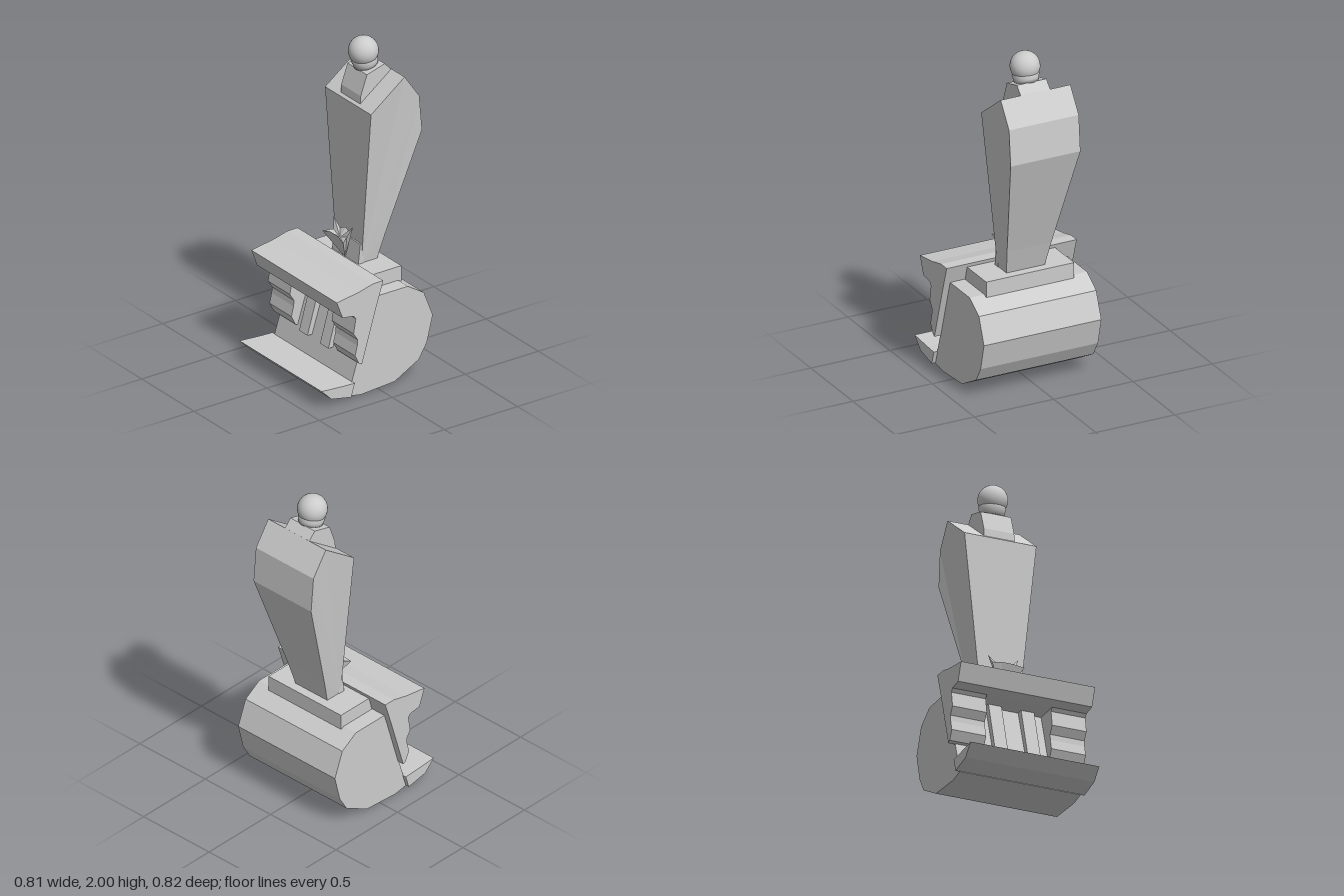
import * as THREE from 'three';

const flat = new THREE.MeshStandardMaterial({ color: 0xcccccc, flatShading: true });
const smooth = new THREE.MeshStandardMaterial({ color: 0xcccccc });
const thin = new THREE.MeshStandardMaterial({ color: 0xcccccc, flatShading: true, side: THREE.DoubleSide });

export function createModel() {
  const model = new THREE.Group();

  const add = (name, geometry, material = flat) => {
    const mesh = new THREE.Mesh(geometry, material);
    mesh.name = name;
    model.add(mesh);
    return mesh;
  };

  // Side profile (x, y) extruded from z0 to z1
  const prism = (points, z0, z1) => {
    const shape = new THREE.Shape(points.map(([x, y]) => new THREE.Vector2(x, y)));
    const g = new THREE.ExtrudeGeometry(shape, { depth: z1 - z0, bevelEnabled: false });
    return g.translate(0, 0, z0);
  };

  // Faceted drum with a slanted front
  add('drum', prism([
    [-0.21, 0.02], [-0.12, 0.005], [0.11, 0.02], [0.275, 0.11], [0.33, 0.2],
    [0.37, 0.36], [0.31, 0.515], [0.2, 0.585], [-0.032, 0.585],
  ], -0.37, 0.37));

  // Upper jaw: a full-width hood with stepped cheeks at both ends
  add('upperJawHood', prism([
    [0.003, 0.693], [-0.065, 0.693], [-0.165, 0.668], [-0.315, 0.645],
    [-0.275, 0.54], [-0.2, 0.53], [-0.049, 0.53],
  ], -0.41, 0.41));
  const cheek = [
    [-0.049, 0.53], [-0.2, 0.53], [-0.185, 0.51], [-0.2, 0.42], [-0.172, 0.375],
    [-0.175, 0.34], [-0.19, 0.28], [-0.162, 0.225], [-0.143, 0.215],
  ];
  add('cheekFront', prism(cheek, 0.2, 0.41));
  add('cheekBack', prism(cheek, -0.41, -0.2));

  // Upright ribs in the recess between the cheeks
  for (const z of [-0.1, 0.1]) {
    add('mouthRib', prism([
      [-0.049, 0.53], [-0.09, 0.53], [-0.18, 0.215], [-0.145, 0.215],
    ], z - 0.04, z + 0.04));
  }

  // Lower lip
  add('lowerLip', prism([
    [-0.408, 0.115], [-0.34, 0.048], [-0.205, 0.022], [-0.18, 0.102], [-0.26, 0.105],
  ], -0.394, 0.394));

  // Plate under the post
  add('basePlate', prism([[-0.03, 0.575], [0.222, 0.575], [0.222, 0.67], [-0.008, 0.67]], -0.277, 0.277));

  // Post, widening upward to its shoulders
  const post = prism([
    [0.06, 0.66], [0.165, 0.66], [0.21, 0.82], [0.404, 1.44],
    [0.385, 1.655], [0.285, 1.8], [0.055, 1.63],
  ], -1, 1);
  const p = post.attributes.position;
  for (let i = 0; i < p.count; i++) {
    const t = THREE.MathUtils.clamp((p.getY(i) - 0.67) / 0.77, 0, 1);
    p.setZ(i, Math.sign(p.getZ(i)) * (0.12 + 0.1 * t));
  }
  post.computeVertexNormals();
  add('post', post);

  // Tapered neck block
  add('neck', prism([
    [0.07, 1.62], [0.285, 1.78], [0.285, 1.797], [0.24, 1.845], [0.118, 1.81], [0.075, 1.69],
  ], -0.093, 0.093));

  // Ball on a tilted collar
  const collar = [[0, -0.02], [0.07, -0.02], [0.073, 0.0], [0.078, 0.022], [0.07, 0.045], [0.05, 0.06]];
  const collarMesh = add('ballCollar',
    new THREE.LatheGeometry(collar.map(([r, y]) => new THREE.Vector2(r, y)), 32), smooth);
  collarMesh.position.set(0.172, 1.845, 0);
  collarMesh.rotation.z = 0.24;
  add('ball', new THREE.SphereGeometry(0.086, 32, 20).translate(0.16, 1.914, 0), smooth);

  // Star-shaped flared tuft: rim loop joined to a foot point and a sunken centre
  const half = [[-0.04, 0.83, 0.035], [-0.05, 0.815, 0.1], [0.0, 0.825, 0.065],
    [0.022, 0.89, 0.092], [0.035, 0.83, 0.05]];
  const rim = [...half, [0.04, 0.85, 0], ...half.map(([x, y, z]) => [x, y, -z]).reverse()];
  const foot = [0.035, 0.665, 0], centre = [0.0, 0.8, 0];
  const tris = [];
  rim.forEach((a, i) => {
    const b = rim[(i + 1) % rim.length];
    tris.push(...a, ...b, ...centre, ...b, ...a, ...foot);
  });
  const tuft = new THREE.BufferGeometry();
  tuft.setAttribute('position', new THREE.Float32BufferAttribute(tris, 3));
  tuft.computeVertexNormals();
  add('starTuft', tuft, thin);

  // Small backing wedge at the foot of the post
  add('footWedge', prism([[0.035, 0.665], [0.075, 0.665], [0.075, 0.79], [0.05, 0.79]], -0.125, 0.125));

  return model;
}
